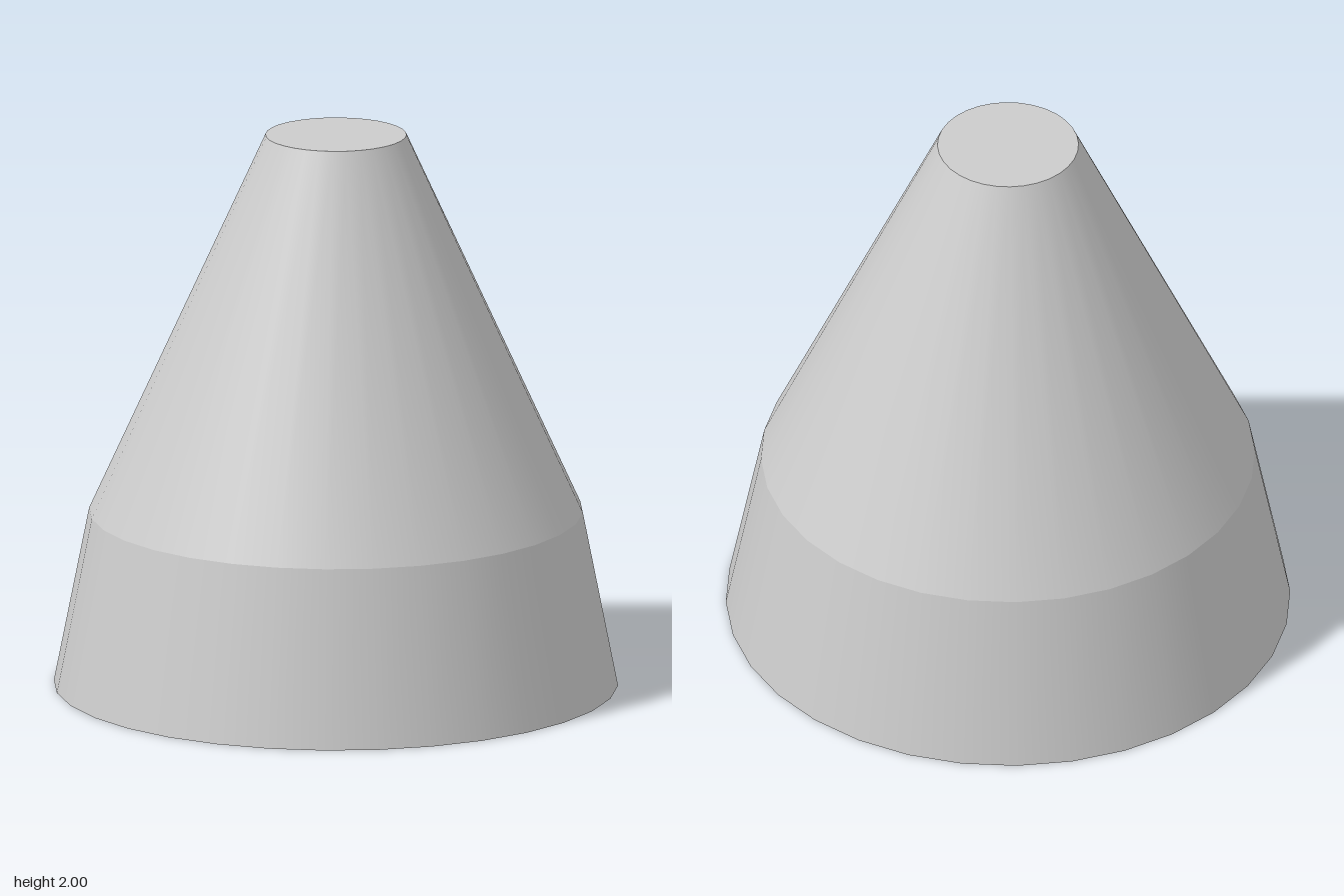
import * as THREE from 'three';

const SIDES = 32;

export function createModel() {
  const group = new THREE.Group();
  group.name = 'taperedCone';
  const material = new THREE.MeshStandardMaterial({ color: 0xcccccc });

  const add = (name, geometry, y) => {
    const mesh = new THREE.Mesh(geometry, material);
    mesh.name = name;
    mesh.position.y = y;
    group.add(mesh);
    return mesh;
  };

  // Open frustum standing between two heights
  const frustum = (name, rTop, rBottom, y0, y1) =>
    add(name, new THREE.CylinderGeometry(rTop, rBottom, y1 - y0, SIDES, 1, true), (y0 + y1) / 2);

  // Steep skirt below, slender cone above, with a crisp edge between them
  frustum('baseSkirt', 0.875, 1, 0, 0.63);
  frustum('upperCone', 0.25, 0.875, 0.63, 2);

  // Flat end caps
  add('topCap', new THREE.CircleGeometry(0.25, SIDES), 2).rotation.x = -Math.PI / 2;
  add('bottomCap', new THREE.CircleGeometry(1, SIDES), 0).rotation.x = Math.PI / 2;

  return group;
}
